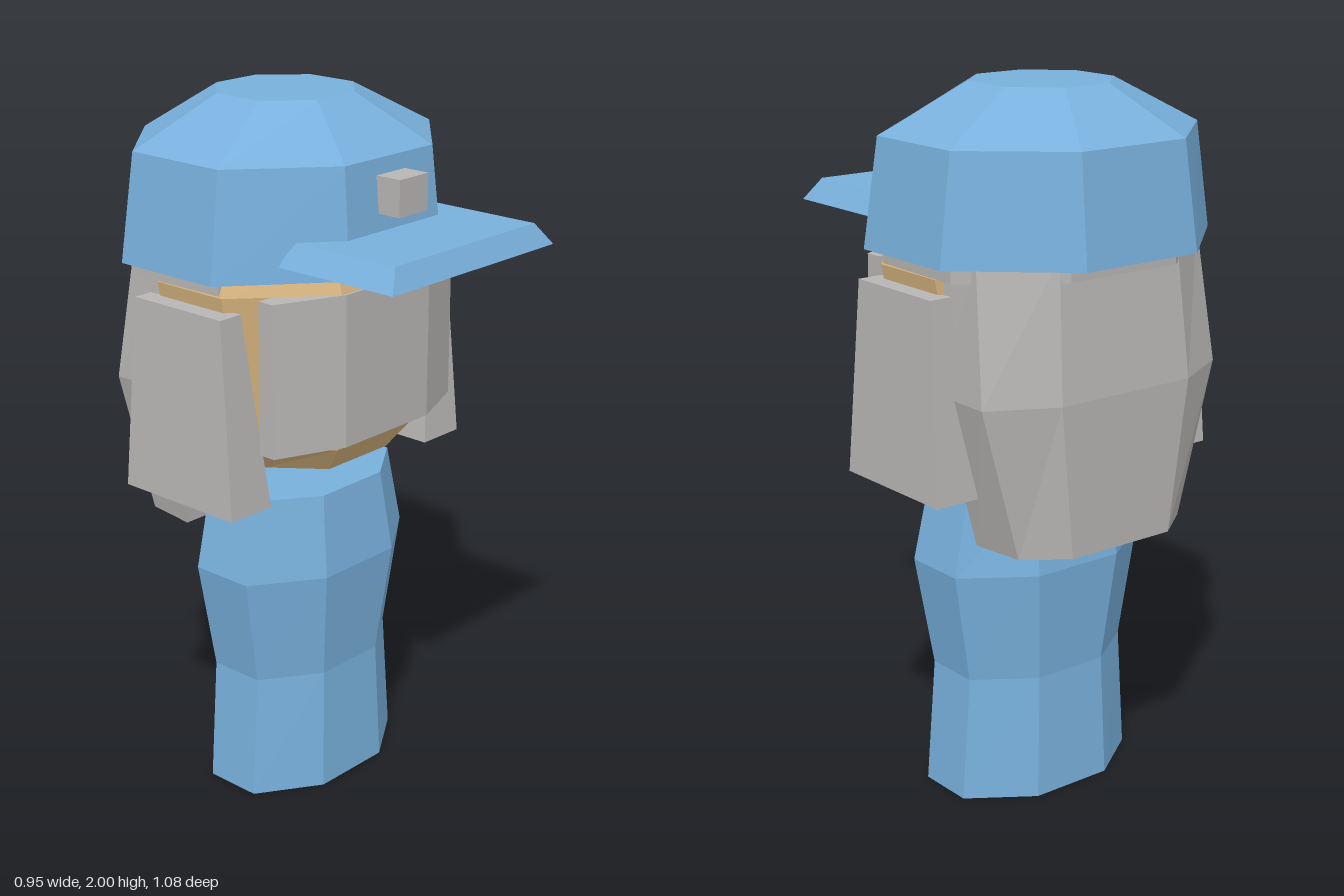
import * as THREE from 'three';

const material = (name, color) => Object.assign(new THREE.MeshStandardMaterial({ color, flatShading: true }), { name });

// Mirror a half outline (front to back on +x) into a closed loop.
const mirrored = half => [...half, ...half.map(([x, z]) => [-x, z]).reverse()];

// Skin a stack of [y, loop] cross-sections, bottom to top, with flat ends.
function loft(sections) {
  const n = sections[0][1].length;
  const positions = [];
  const index = [];
  sections.forEach(([y, loop]) => loop.forEach(([x, z]) => positions.push(x, y, z)));
  for (let s = 0; s < sections.length - 1; s++) {
    for (let i = 0; i < n; i++) {
      const j = (i + 1) % n;
      const a = s * n + i, b = s * n + j;
      index.push(a, b, b + n, a, b + n, a + n);
    }
  }
  const top = (sections.length - 1) * n;
  for (let i = 1; i < n - 1; i++) {
    index.push(0, i + 1, i, top, top + i, top + i + 1);
  }
  const geometry = new THREE.BufferGeometry();
  geometry.setAttribute('position', new THREE.Float32BufferAttribute(positions, 3));
  geometry.setIndex(index);
  const flat = geometry.toNonIndexed();
  flat.computeVertexNormals();
  return flat;
}

// Octagonal section: flat half-width, half-width, then z of front, front side, back side, back.
const octagon = (y, flat, width, front, sideFront, sideBack, back) =>
  [y, mirrored([[flat, front], [width, sideFront], [width, sideBack], [flat, back]])];

export function createModel() {
  const group = new THREE.Group();
  const blue = material('blue cloth', 0x78b0dc);
  const grey = material('grey hair', 0xb8b6b4);
  const tan = material('tan skin', 0xd9b680);

  const add = (name, geometry, mat) => {
    const mesh = new THREE.Mesh(geometry, mat);
    mesh.name = name;
    group.add(mesh);
    return mesh;
  };

  // Body with a waist
  add('body', loft([
    octagon(0, 0.125, 0.3, 0.125, 0.01, -0.16, -0.28),
    octagon(0.36, 0.113, 0.275, 0.115, 0.005, -0.16, -0.27),
    octagon(0.68, 0.14, 0.33, 0.15, 0.02, -0.17, -0.3),
    octagon(0.915, 0.12, 0.28, 0.12, 0.01, -0.165, -0.265),
  ]), blue);

  // Head, widest at the brow
  add('head', loft([
    octagon(1.0, 0.12, 0.23, 0.14, 0.0, -0.18, -0.3),
    octagon(1.08, 0.15, 0.325, 0.2, 0.02, -0.2, -0.36),
    octagon(1.53, 0.18, 0.415, 0.238, 0.03, -0.21, -0.42),
    octagon(1.62, 0.17, 0.38, 0.21, 0.02, -0.2, -0.4),
  ]), tan);

  // Beard plate wrapping the front of the face
  const beardLoop = mirrored([[0.17, 0.245], [0.365, 0.165], [0.365, 0.115]]);
  add('beard', loft([[1.105, beardLoop], [1.53, beardLoop]]), grey);

  // Hair hanging at the back
  const hair = (y, x, front, side, back, flat, sideX) =>
    [y, mirrored([[x, front], [sideX, side], [flat, back]])];
  add('backHair', loft([
    hair(0.79, 0.305, -0.235, -0.39, -0.475, 0.17, 0.285),
    hair(1.22, 0.4, -0.2, -0.39, -0.487, 0.22, 0.405),
    hair(1.6, 0.4, -0.2, -0.335, -0.45, 0.2, 0.38),
  ]), grey);

  // Hair line under the cap
  const bandLoop = mirrored([[0.415, 0.02], [0.425, -0.29], [0.18, -0.47]]);
  add('hairBand', loft([[1.535, bandLoop], [1.6, bandLoop]]), grey);

  // Side locks, wider towards the bottom
  const lock = [
    [0.945, [[0.325, 0.115], [0.475, 0.115], [0.475, -0.29], [0.325, -0.29]]],
    [1.49, [[0.385, 0.07], [0.46, 0.07], [0.46, -0.25], [0.385, -0.25]]],
  ];
  add('leftSideLock', loft(lock), grey);
  add('rightSideLock', loft(lock.map(([y, loop]) => [y, loop.map(([x, z]) => [-x, z]).reverse()])), grey);

  // Cap crown
  add('capCrown', loft([
    octagon(1.575, 0.188, 0.462, 0.27, 0.04, -0.295, -0.54),
    octagon(1.87, 0.175, 0.42, 0.242, 0.03, -0.285, -0.5),
    octagon(2, 0.075, 0.185, 0.055, -0.05, -0.205, -0.315),
  ]), blue);

  // Cap brim with bevelled rim
  add('capBrim', loft([
    [1.62, mirrored([[0.33, 0.537], [0.33, 0.155]])],
    [1.68, mirrored([[0.285, 0.505], [0.285, 0.155]])],
  ]), blue);

  // Plain block on the front of the cap
  add('capBadge', new THREE.BoxGeometry(0.114, 0.1, 0.125), grey).position.set(0, 1.777, 0.263);

  return group;
}
